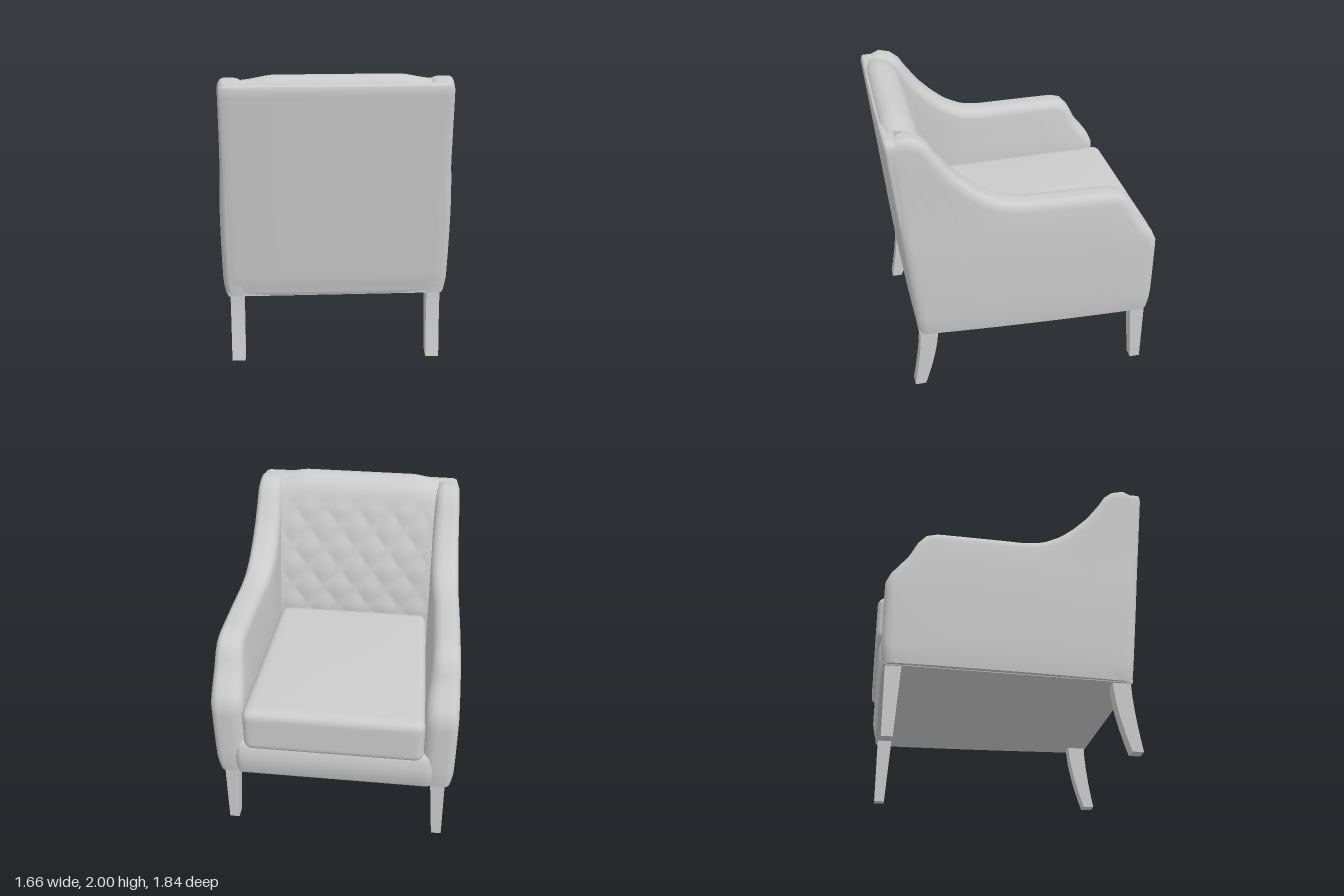
import * as THREE from 'three';
import { mergeVertices, toCreasedNormals } from 'three/addons/utils/BufferGeometryUtils.js';

const FLOOR = 0.47; // underside of the upholstered body
const material = new THREE.MeshStandardMaterial({ color: 0xcccccc });
const openMaterial = new THREE.MeshStandardMaterial({ color: 0xcccccc, side: THREE.DoubleSide });
const { lerp, clamp, smoothstep } = THREE.MathUtils;

// Move every vertex by a rule that edits the vector in place
function reshape(geo, rule) {
  const p = geo.attributes.position, v = new THREE.Vector3();
  for (let i = 0; i < p.count; i++) {
    rule(v.fromBufferAttribute(p, i));
    p.setXYZ(i, v.x, v.y, v.z);
  }
  return geo;
}

function smooth(geo) {
  geo.deleteAttribute('uv');
  geo.deleteAttribute('normal');
  const merged = mergeVertices(geo, 1e-5);
  merged.computeVertexNormals();
  return merged;
}

// Finely divided box with rounded edges, then shaped further by a rule
function softBox(min, max, r, rule, seg = [30, 16, 30]) {
  const lo = new THREE.Vector3(...min), hi = new THREE.Vector3(...max);
  const size = hi.clone().sub(lo), mid = lo.clone().add(hi).multiplyScalar(0.5);
  const inLo = lo.clone().addScalar(r), inHi = hi.clone().addScalar(-r);
  const geo = new THREE.BoxGeometry(size.x, size.y, size.z, ...seg);
  geo.translate(mid.x, mid.y, mid.z);
  const core = new THREE.Vector3();
  reshape(geo, v => {
    core.copy(v).clamp(inLo, inHi);
    v.sub(core).setLength(r).add(core);
    rule(v);
  });
  return smooth(geo);
}

// Side outline of arm and wing as [z, y], before the padding is rounded outward
const armOutline = [
  [0.69, 0.42], [0.835, 1.87], [0.82, 1.9], [0.76, 1.912], [0.70, 1.875],
  [0.655, 1.80], [0.553, 1.664], [0.447, 1.558], [0.337, 1.47], [0.2, 1.403],
  [0.05, 1.38], [-0.575, 1.38], [-0.61, 1.355], [-0.68, 1.215], [-0.75, 1.13],
  [-0.812, 1.05], [-0.812, 0.6], [-0.79, 0.42], [0.69, 0.42],
];

// Arm and wing in one padded piece: outline loops from inner to outer face
function armGeometry(side) {
  const r = 0.07, count = 110;
  const path = new THREE.Path(armOutline.map(p => new THREE.Vector2(...p)));
  const pts = path.getSpacedPoints(count).slice(0, count);
  const centre = new THREE.Vector2(0.35, 0.9);

  // each loop: scale about the centre, outward offset, position across the arm
  const loopsTo = depth => {
    const list = [0, 0.2, 0.4, 0.6, 0.8].map(k => [k, 0, 0]);
    for (let i = 0; i <= 6; i++) {
      const a = i * Math.PI / 12;
      list.push([1, r * Math.sin(a), depth * (1 - Math.cos(a))]);
    }
    return list;
  };
  // broad roll on the inner edge, tighter on the outer edge
  const half = [loopsTo(0.4), loopsTo(0.25)];
  if (side < 0) half.reverse();
  const loops = [...half[0], ...half[1].reverse().map(([k, o, t]) => [k, o, 1 - t])];

  const pos = [], index = [];
  loops.forEach(([scale, offset, t], j) => pts.forEach((p, i) => {
    const d = pts[(i + 1) % count].clone().sub(pts[(i + count - 1) % count]).normalize();
    const z = lerp(centre.x, p.x, scale) + d.y * offset;
    const y = Math.max(FLOOR, lerp(centre.y, p.y, scale) - d.x * offset);
    const bulge = (y > 1 ? -0.09 : -0.03) * (Math.min(y, 1.4) - 1) ** 2
      - 0.012 * (1 - smoothstep(y, 0.47, 0.56));
    const outer = 0.806 - 0.045 * z - 0.02 * z * z + bulge;
    const inner = lerp(0.605, 0.57, clamp((z + 0.8) / 1.1, 0, 1))
      + 0.03 * smoothstep(y, 1, 1.45) * (1 - smoothstep(z, -0.1, 0.5));
    pos.push(side > 0 ? lerp(inner, outer, t) : -lerp(outer, inner, t), y, z);
    if (j === loops.length - 1) return;
    const a = j * count + i, b = j * count + (i + 1) % count;
    index.push(a, a + count, b, b, a + count, b + count);
  }));
  const geo = new THREE.BufferGeometry();
  geo.setAttribute('position', new THREE.Float32BufferAttribute(pos, 3));
  geo.setIndex(index);
  return toCreasedNormals(geo, 0.7);
}

// Inside back: swept profile with a softly diamond-tufted face and a plain top roll
function tuftedBackGeometry() {
  const profile = new THREE.SplineCurve([
    [0.43, 0.8], [0.435, 1.05], [0.5, 1.38], [0.57, 1.62], [0.63, 1.8],
    [0.69, 1.93], [0.77, 1.99], [0.83, 1.998], [0.88, 1.975], [0.905, 1.93], [0.89, 1.88],
  ].map(p => new THREE.Vector2(...p)));
  const geo = new THREE.PlaneGeometry(1.18, 1, 100, 110);
  reshape(geo, v => {
    const u = clamp(v.y + 0.5, 0, 1);
    const p = profile.getPointAt(u), t = profile.getTangentAt(u);
    const a = v.x / 0.24 + p.y / 0.3, b = v.x / 0.24 - p.y / 0.3;
    const pillow = Math.abs(Math.sin(Math.PI * a) * Math.sin(Math.PI * b));
    const fade = (1 - smoothstep(p.y, 1.76, 1.9)) * (1 - smoothstep(Math.abs(v.x), 0.5, 0.58));
    const push = 0.012 * fade * (pillow - 0.5);
    const crown = 0.03 * smoothstep(Math.abs(v.x), 0.38, 0.6) * smoothstep(p.y, 1.7, 1.95);
    v.set(-v.x, p.y + t.x * push - crown, p.x - t.y * push);
  });
  return smooth(geo);
}

// Flat dust cover closing the underside, wider at the seat front
function undersideGeometry() {
  const geo = new THREE.BoxGeometry(1, 0.03, 1.6);
  return reshape(geo, v => {
    v.x *= v.z < 0 ? 1.57 : 1.45;
    v.y += FLOOR + 0.011;
    v.z = v.z < 0 ? -0.855 : 0.762;
  });
}

// Four-sided leg; rule gives [x centre, x width, z min, z max] for k = 0 top, 1 foot
function legGeometry(side, rule) {
  const geo = new THREE.BoxGeometry(1, 1, 1, 1, 8, 1);
  reshape(geo, v => {
    const h = v.y + 0.5;
    const [cx, w, z0, z1] = rule(1 - h);
    v.set(side * cx + v.x * w, h * (FLOOR + 0.005), lerp(z0, z1, v.z + 0.5));
  });
  return toCreasedNormals(geo, 0.6);
}

export function createModel() {
  const chair = new THREE.Group();
  chair.name = 'armchair';
  const add = (name, geo, mat = material) => {
    const mesh = new THREE.Mesh(geo, mat);
    mesh.name = name;
    chair.add(mesh);
  };

  // Padded base with a slightly puffed front rail
  add('seatBase', softBox([-0.69, 0.42, -0.872], [0.69, 0.76, 0.74], 0.05, v => {
    v.y = Math.max(v.y, FLOOR);
    if (v.z < -0.8) v.z -= 0.024 * Math.sin(Math.PI * clamp((v.y - FLOOR) / 0.27, 0, 1));
  }));
  add('underside', undersideGeometry());

  // Loose seat cushion, narrower to the rear and gently crowned
  add('seatCushion', softBox([-0.615, 0.715, -0.92], [0.615, 1.048, 0.415], 0.06, v => {
    const nx = v.x / 0.615, nz = (v.z + 0.25) / 0.67;
    const dome = Math.max(0, (1 - nx * nx) * (1 - nz * nz));
    if (v.y > 0.88) v.y += 0.025 * dome;
    v.x *= lerp(1, 0.905, clamp((v.z + 0.92) / 1.33, 0, 1));
  }, [50, 20, 50]));

  // Inside and outside back
  add('tuftedBack', tuftedBackGeometry(), openMaterial);
  add('outsideBack', softBox([-0.732, 0.42, -0.1], [0.732, 1.955, 0], 0.035, v => {
    const bow = 0.008 * (v.x / 0.732) ** 2;
    v.y = Math.max(v.y, FLOOR);
    // leaning, slightly bowed panel, tucked in near the bottom edge
    v.z += lerp(0.775, 0.922, (v.y - FLOOR) / 1.45) - bow - 0.01 * (1 - smoothstep(v.y, 0.47, 0.6));
  }, [40, 40, 12]));

  // Arms and legs on both sides
  for (const [side, label] of [[1, 'left'], [-1, 'right']]) {
    add(label + 'Arm', armGeometry(side));
    add(label + 'StraightLeg', legGeometry(side, k =>
      [0.72 + 0.015 * k, 0.1 - 0.03 * k, -0.852, -0.748 - 0.032 * k]));
    add(label + 'CurvedLeg', legGeometry(side, k =>
      [0.667, 0.09, 0.63 + 0.105 * k ** 1.6, 0.752 + 0.058 * k ** 1.6]));
  }
  return chair;
}
